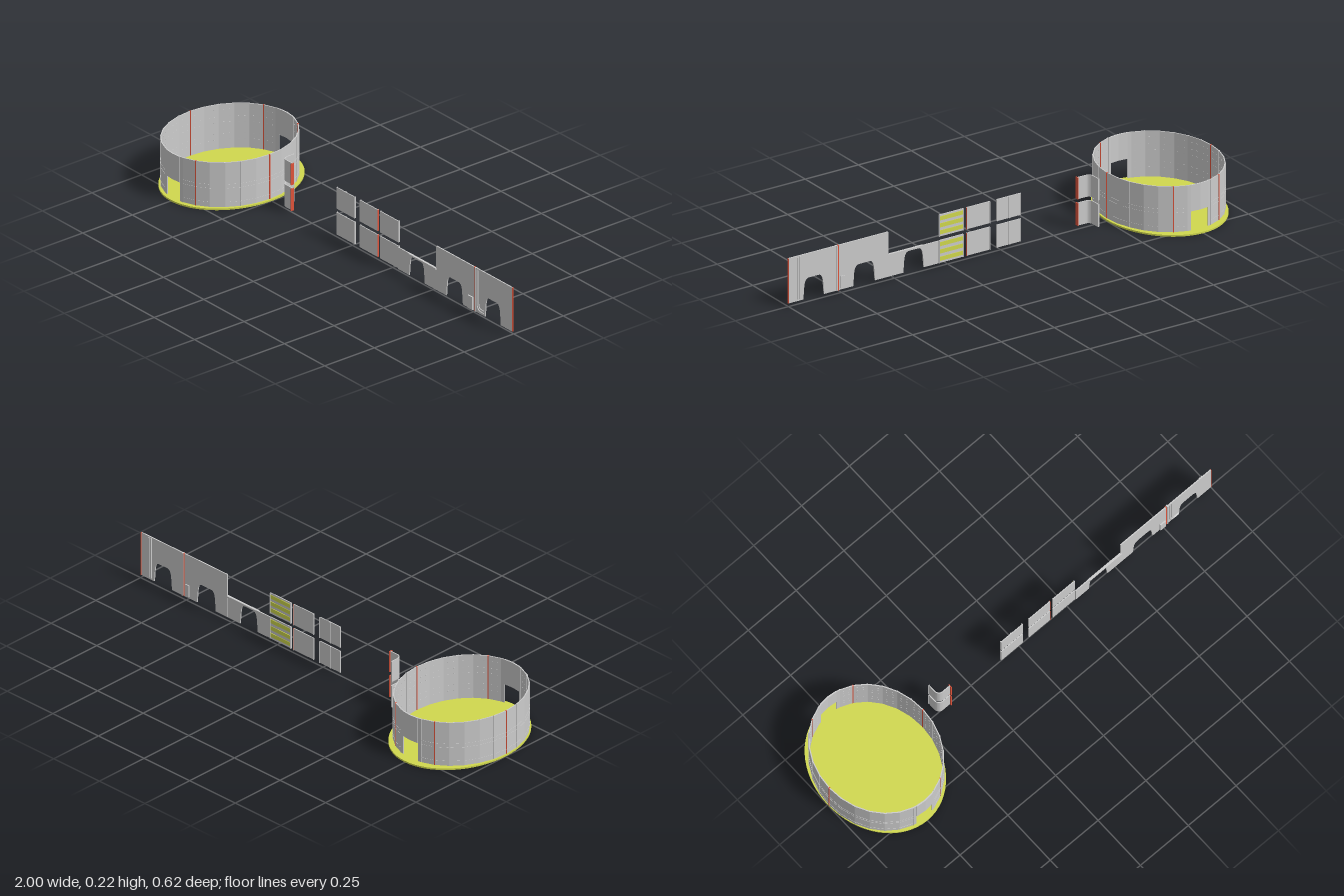
import * as THREE from 'three';

const mat = (color) => new THREE.MeshStandardMaterial({ color });
const grey = mat(0xcccccc), red = mat(0xe0533a), yellow = mat(0xd0d84e);

// Ellipse of the round enclosure
const CX = -0.7515, CZ = 0.007, RX = 0.244, RZ = 0.285;
const rad = (d) => (d * Math.PI) / 180;

function add(parent, name, geometry, material = grey) {
  const mesh = new THREE.Mesh(geometry, material);
  mesh.name = name;
  parent.add(mesh);
  return mesh;
}

function box(parent, name, [x0, x1], [y0, y1], [z0, z1], material = grey) {
  const mesh = add(parent, name, new THREE.BoxGeometry(x1 - x0, y1 - y0, z1 - z0), material);
  mesh.position.set((x0 + x1) / 2, (y0 + y1) / 2, (z0 + z1) / 2);
  return mesh;
}

// Upright prism from a plan outline of [x, z] points
function prism(plan, y0, y1) {
  const shape = new THREE.Shape(plan.map(([x, z]) => new THREE.Vector2(x, -z)));
  const geo = new THREE.ExtrudeGeometry(shape, { depth: y1 - y0, bevelEnabled: false });
  return geo.rotateX(-Math.PI / 2).translate(0, y0, 0);
}

// Point and wall piece on the ellipse; offsets run outward from the base line
const onRing = (deg, off) => [CX + (RX + off) * Math.cos(rad(deg)), CZ + (RZ + off) * Math.sin(rad(deg))];
const wall = (a, b, y0, y1, inner, outer) =>
  prism([onRing(a, inner), onRing(b, inner), onRing(b, outer), onRing(a, outer)], y0, y1);

function buildEnclosure() {
  const ring = new THREE.Group();
  ring.name = 'roundEnclosure';

  const floor = add(ring, 'floor', new THREE.CylinderGeometry(1, 1, 0.007, 64), yellow);
  floor.scale.set(0.25, 1, 0.308);
  floor.position.set(-0.75, 0.0035, 0);

  // Facets, with extra joints at the door jambs
  const angles = [];
  for (let i = 0; i < 28; i++) angles.push((i * 360) / 28);
  angles.push(80.6, 99.4, 260.6, 279.4);
  angles.sort((a, b) => a - b);
  angles.forEach((a, i) => {
    const b = i + 1 < angles.length ? angles[i + 1] : 360;
    const mid = (a + b) / 2;
    const door = Math.abs((mid % 180) - 90) < 9.4;
    if (door) {
      add(ring, 'lintel', wall(a, b, 0.092, 0.204, -0.001, 0.005));
      return;
    }
    add(ring, 'wallPanel', wall(a, b, 0.01, 0.204, -0.001, 0.0035));
    if (b - a < 8) return;
    // Battens and short ledges on both faces
    for (const y of [0.03, 0.09, 0.107]) {
      add(ring, 'batten', wall(a, b, y, y + 0.0018, 0.003, 0.0045));
    }
    for (const y of [0.05, 0.075, 0.125, 0.15, 0.18]) {
      for (const f of [0.25, 0.65]) {
        const s = a + (b - a) * f;
        add(ring, 'ledge', wall(s, s + 1.3, y, y + 0.0015, -0.0035, 0.001));
      }
    }
  });

  // Upright ribs on the joints, some of them red
  const redJoints = [0, 5, 14, 19, 23];
  for (let i = 0; i < 28; i++) {
    const a = (i * 360) / 28;
    if (i === 7 || i === 21) continue;
    const isRed = redJoints.includes(i);
    const w = isRed ? 0.45 : 0.18;
    add(ring, isRed ? 'redJoint' : 'rib', wall(a - w, a + w, 0.01, 0.2045, -0.002, 0.0045), isRed ? red : grey);
  }
  return ring;
}

// L-shaped corner panel with a rounded bend and a red end flange
function buildCornerPanel(y0, y1) {
  const g = new THREE.Group();
  g.name = 'cornerPanel';
  const arc = (r) => [0, 1, 2, 3, 4, 5, 6].map((k) => {
    const t = rad(180 - k * 15);
    return [-0.403 + r * Math.cos(t), -0.017 + r * Math.sin(t)];
  });
  const outer = [[-0.427, -0.05], ...arc(0.024), [-0.365, 0.007]];
  const inner = [[-0.423, -0.05], ...arc(0.02), [-0.365, 0.003]];
  add(g, 'bentSheet', prism([...outer, ...inner.reverse()], y0, y1));
  box(g, 'redFlange', [-0.366, -0.363], [y0, y1], [-0.002, 0.014], red);
  box(g, 'endFlange', [-0.43, -0.423], [y0, y1], [-0.052, -0.05]);
  return g;
}

// Flat wall sheet with an arched passage cut in from the bottom edge
function archSheet(x0, x1, top, a0, a1, archTop) {
  const s = new THREE.Shape();
  const r = 0.02, y0 = 0.012;
  s.moveTo(x0, y0);
  s.lineTo(a0, y0);
  s.lineTo(a0 + 0.004, archTop - 0.04);
  s.quadraticCurveTo(a0 + 0.006, archTop, a0 + 0.006 + r, archTop);
  s.lineTo(a1 - 0.006 - r, archTop);
  s.quadraticCurveTo(a1 - 0.006, archTop, a1 - 0.004, archTop - 0.04);
  s.lineTo(a1, y0);
  s.lineTo(x1, y0);
  s.lineTo(x1, top);
  s.lineTo(x0, top);
  return new THREE.ExtrudeGeometry(s, { depth: 0.005, bevelEnabled: false, curveSegments: 8 }).translate(0, 0, 0.002);
}

function buildFlatPanels() {
  const g = new THREE.Group();
  g.name = 'flatPanels';
  const spans = [[-0.095, 0.018], [0.05, 0.16], [0.175, 0.29]];
  const rows = [[0.013, 0.11], [0.126, 0.219]];
  spans.forEach(([x0, x1], i) => {
    for (const [y0, y1] of rows) {
      box(g, 'flatPanel', [x0, x1], [y0, y1], [0, 0.004]);
      // Edge flanges on the back
      for (const x of [x0, x1 - 0.002]) box(g, 'sideFlange', [x, x + 0.002], [y0, y1], [-0.003, 0]);
      if (i === 0) box(g, 'backRib', [-0.044, -0.038], [y0, y1], [-0.003, 0]);
      if (i === 1) box(g, 'redEdge', [x1, x1 + 0.0015], [y0, y1], [-0.003, 0.004], red);
      // Yellow bands on the back of the last panel
      if (i === 2) {
        for (const f of [0.1, 0.42, 0.74]) {
          const y = y0 + (y1 - y0) * f;
          box(g, 'yellowBand', [x0 + 0.003, x1 - 0.003], [y, y + 0.017], [-0.002, 0], yellow);
        }
      }
    }
  });
  return g;
}

function buildArchWalls() {
  const g = new THREE.Group();
  g.name = 'archWalls';
  add(g, 'lowArchWall', archSheet(0.292, 0.527, 0.107, 0.36, 0.457, 0.099));
  add(g, 'tallArchWall', archSheet(0.528, 0.762, 0.204, 0.59, 0.693, 0.1));
  add(g, 'endArchWall', archSheet(0.772, 0.998, 0.204, 0.83, 0.928, 0.1));

  // Low rails, seam and edge strips
  box(g, 'topRail', [0.36, 0.53], [0.1, 0.107], [0.001, 0.011]);
  box(g, 'redSeam', [0.762, 0.766], [0.012, 0.204], [0, 0.008], red);
  box(g, 'seamPost', [0.768, 0.774], [0.012, 0.204], [-0.001, 0.01]);
  box(g, 'redEnd', [0.998, 1], [0.012, 0.204], [0, 0.007], red);
  box(g, 'serviceBox', [0.73, 0.758], [0.014, 0.07], [0.006, 0.013]);
  box(g, 'backBox', [0.735, 0.755], [0.02, 0.07], [-0.002, 0.003]);

  // Bent pipes dropping beside the end arch
  for (const d of [0, 0.011]) {
    const path = new THREE.CurvePath();
    const v = (x, y) => new THREE.Vector3(x, y, 0.008);
    path.add(new THREE.LineCurve3(v(0.781 + d, 0.2), v(0.781 + d, 0.055)));
    path.add(new THREE.QuadraticBezierCurve3(v(0.781 + d, 0.055), v(0.782 + d, 0.022 + d), v(0.808, 0.022 + d)));
    path.add(new THREE.LineCurve3(v(0.808, 0.022 + d), v(0.828, 0.022 + d)));
    add(g, 'pipe', new THREE.TubeGeometry(path, 32, 0.003, 6));
  }
  for (const x of [0.94, 0.952]) box(g, 'backDuct', [x, x + 0.006], [0.02, 0.2], [-0.002, 0.003]);
  return g;
}

export function createModel() {
  const model = new THREE.Group();
  model.name = 'wallPanelSet';
  model.add(buildEnclosure());
  model.add(buildCornerPanel(0.013, 0.11), buildCornerPanel(0.126, 0.219));
  model.add(buildFlatPanels(), buildArchWalls());
  return model;
}
